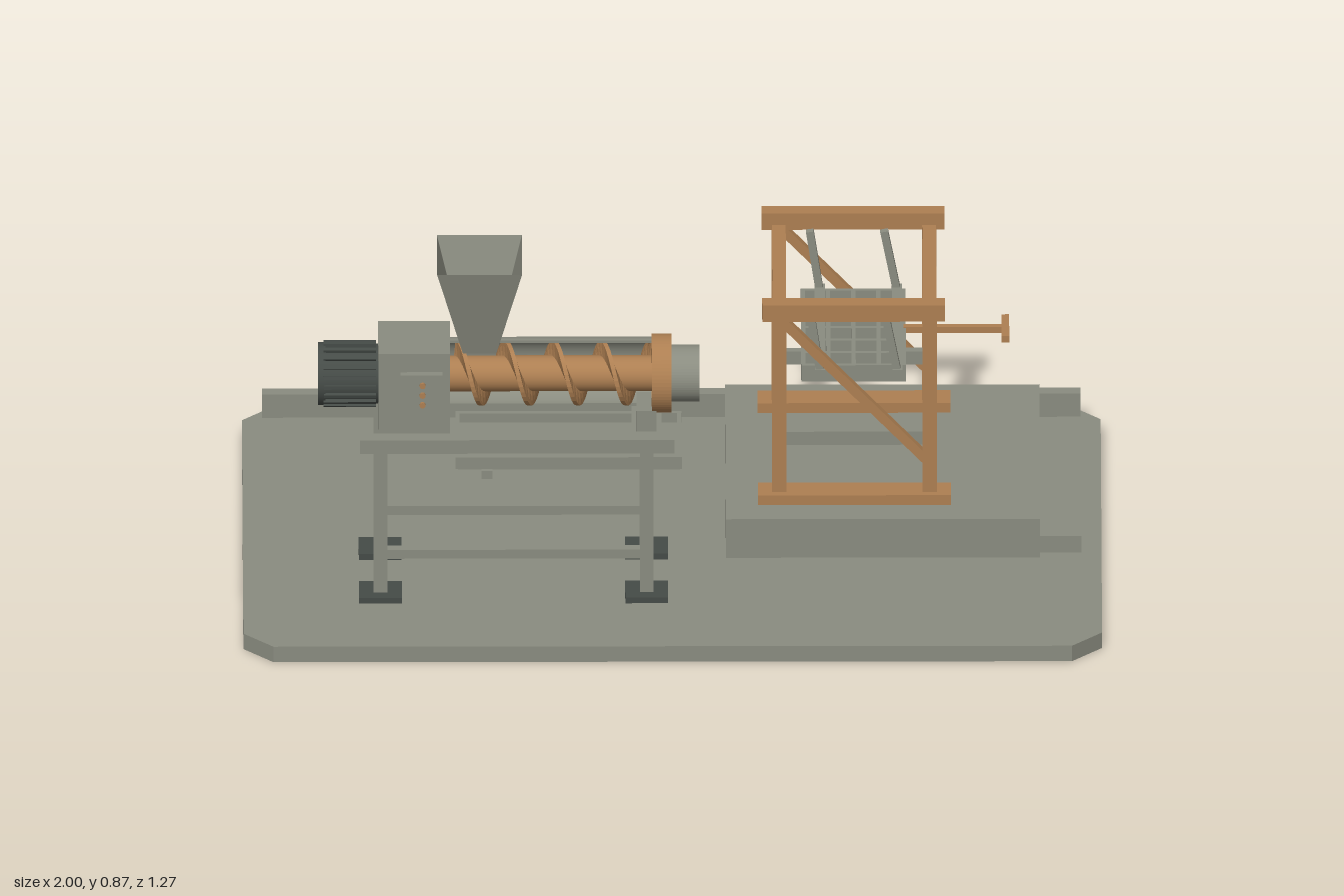
import * as THREE from 'three';

export function createModel() {
  const model = new THREE.Group();
  const make = (name, color, extra = {}) => {
    const m = new THREE.MeshStandardMaterial({ color, ...extra });
    m.name = name;
    return m;
  };
  const grey = make('grey', 0x8a8c80);
  const sheet = grey.clone();
  sheet.side = THREE.DoubleSide;
  const copper = make('copper', 0xad7f52);
  const dark = make('dark', 0x454b47);

  const add = (name, geo, mat) => {
    const mesh = new THREE.Mesh(geo, mat);
    mesh.name = name;
    model.add(mesh);
    return mesh;
  };
  // box given by its limits on each axis
  const box = (name, mat, [x0, x1], [y0, y1], [z0, z1]) => {
    const m = add(name, new THREE.BoxGeometry(x1 - x0, y1 - y0, z1 - z0), mat);
    m.position.set((x0 + x1) / 2, (y0 + y1) / 2, (z0 + z1) / 2);
    return m;
  };
  // sloping square bar in a plane of constant z
  const bar = (name, mat, [xa, ya], [xb, yb], z, w, d) => {
    const m = add(name, new THREE.BoxGeometry(Math.hypot(xb - xa, yb - ya), w, d), mat);
    m.position.set((xa + xb) / 2, (ya + yb) / 2, z);
    m.rotation.z = Math.atan2(yb - ya, xb - xa);
    return m;
  };
  const about = (c, h) => [c - h, c + h];

  // Ground slab with cut corners
  const X = 1, Z = 0.635, c = 0.07;
  const slab = new THREE.Shape([
    [-X + c, -Z], [X - c, -Z], [X, -Z + c], [X, Z - c],
    [X - c, Z], [-X + c, Z], [-X, Z - c], [-X, -Z + c],
  ].map(p => new THREE.Vector2(...p)));
  add('slab', new THREE.ExtrudeGeometry(slab, { depth: 0.04, bevelEnabled: false }).rotateX(-Math.PI / 2), grey);
  box('rearCurb', grey, [-0.953, 0.953], [0.04, 0.1], [-0.61, -0.578]);
  box('plinth', grey, [0.125, 0.857], [0.04, 0.14], [-0.546, 0.167]);
  box('step', grey, [0.857, 0.953], [0.04, 0.083], [-0.224, 0.142]);

  // Cutting frame
  const postX = [0.25, 0.6], frameZ = [0.058, -0.43];
  for (const z of frameZ) {
    box('footBeam', copper, [0.2, 0.65], [0.14, 0.165], about(z, 0.034));
    box('topBeam', copper, [0.21, 0.636], [0.608, 0.65], about(z, 0.02));
    for (const x of postX) box('post', copper, about(x, 0.017), [0.165, 0.61], about(z, 0.017));
    bar('brace', copper, [0.255, 0.605], [0.6, 0.235], z, 0.022, 0.02);
  }
  for (const x of postX) {
    box('topRail', copper, about(x, 0.016), [0.59, 0.62], [-0.415, 0.043]);
    box('lowerRail', copper, about(x, 0.015), [0.244, 0.268], [-0.415, 0.043]);
    box('sideBoard', grey, about(x, 0.012), [0.268, 0.302], [-0.41, 0.036]);
  }
  for (const z of [0.025, -0.4]) box('endBoard', grey, [0.26, 0.59], [0.268, 0.302], about(z, 0.01));

  // Swinging cutter grid
  for (let i = 0; i <= 4; i++)
    box('gridLongBlade', grey, about(0.306 + i * 0.0585, 0.005), [0.423, 0.465], [-0.39, 0.015]);
  for (let i = 0; i <= 6; i++)
    box('gridCrossBlade', grey, [0.302, 0.545], [0.423, 0.465], about(-0.385 + i * 0.066, 0.005));
  for (const [top, low] of [[0.322, 0.345], [0.495, 0.525]]) {
    box('hangerRod', grey, about(low, 0.012), [0.45, 0.466], [-0.415, 0.043]);
    for (const z of [0.03, -0.402]) bar('hanger', grey, [top, 0.61], [low, 0.455], z, 0.018, 0.018);
  }
  box('pullBar', copper, [0.54, 0.772], about(0.459, 0.008), about(-0.19, 0.008));
  box('pullGrip', copper, [0.768, 0.786], about(0.459, 0.009), [-0.247, -0.133]);

  // Machine stand
  const legX = [-0.68, -0.06];
  for (const z of [0.362, 0.13]) {
    box('tableRail', grey, [-0.728, 0.005], [0.415, 0.45], about(z, 0.018));
    box('stretcher', grey, [-0.665, -0.075], [0.14, 0.163], about(z, 0.012));
    for (const x of legX) {
      box('leg', grey, about(x, 0.016), [0.055, 0.415], about(z, 0.016));
      box('footPlate', dark, about(x, 0.05), [0.04, 0.055], about(z, 0.045));
    }
  }
  for (const x of [-0.6, -0.06]) box('tableCrossbar', grey, about(x, 0.035), [0.41, 0.437], [0.14, 0.35]);

  // Drip tray under the stand
  box('trayFloor', grey, [-0.5, 0.017], [0.368, 0.376], [0.125, 0.368]);
  for (const z of [0.13, 0.363]) box('traySide', grey, [-0.505, 0.022], [0.37, 0.4], about(z, 0.006));
  for (const x of [-0.5, 0.016]) box('trayEnd', grey, about(x, 0.005), [0.37, 0.4], [0.13, 0.363]);
  for (const x of [-0.432, -0.06]) box('trayBearer', grey, about(x, 0.013), [0.348, 0.369], [0.115, 0.378]);

  // Gearbox and control panel
  const AY = 0.558, AZ = 0.246;
  box('gearbox', grey, [-0.685, -0.518], [0.435, 0.652], [0.16, 0.336]);
  box('controlPanel', grey, [-0.633, -0.535], [0.506, 0.605], [0.336, 0.354]);
  for (const y of [0.58, 0.555, 0.53]) {
    const b = add('button', new THREE.CylinderGeometry(0.007, 0.007, 0.008, 12).rotateX(Math.PI / 2), copper);
    b.position.set(-0.582, y, 0.357);
  }

  // Round parts along the barrel axis
  const rod = (name, mat, r, x0, x1, seg = 32) => {
    const m = add(name, new THREE.CylinderGeometry(r, r, x1 - x0, seg).rotateZ(Math.PI / 2), mat);
    m.position.set((x0 + x1) / 2, AY, AZ);
    return m;
  };
  // hollow (or part) ring; a0..a1 measured from +z towards +y
  const pipe = (name, mat, ro, ri, x0, x1, a0 = 0, a1 = Math.PI * 2) => {
    const s = new THREE.Shape();
    s.absarc(0, 0, ro, a0, a1, false);
    if (a1 - a0 < 6.28) s.absarc(0, 0, ri, a1, a0, true);
    else s.holes.push(new THREE.Path().absarc(0, 0, ri, 0, Math.PI * 2, true));
    const g = new THREE.ExtrudeGeometry(s, { depth: x1 - x0, bevelEnabled: false, curveSegments: 32 });
    const m = add(name, g.rotateY(-Math.PI / 2), mat);
    m.position.set(x1, AY, AZ);
    return m;
  };
  rod('motorBody', dark, 0.07, -0.815, -0.685);
  rod('motorCap', dark, 0.073, -0.825, -0.808);
  for (let i = 0; i < 20; i++) {
    const a = (i / 20) * Math.PI * 2;
    const f = box('motorFin', dark, [-0.812, -0.69], [-0.006, 0.006], [-0.004, 0.004]);
    f.position.set(-0.751, AY + 0.072 * Math.cos(a), AZ + 0.072 * Math.sin(a));
    f.rotation.x = a;
  }
  pipe('barrelShell', grey, 0.085, 0.078, -0.518, -0.04, Math.PI / 2, Math.PI * 1.5);
  pipe('barrelFlange', copper, 0.092, 0.06, -0.048, -0.002);
  pipe('nozzle', grey, 0.066, 0.046, -0.045, 0.063);
  box('barrelSaddle', grey, [-0.083, -0.037], [0.435, 0.49], [0.184, 0.308]);

  // Screw: core with a helical flight
  rod('screwCore', copper, 0.042, -0.518, 0.02);
  rod('screwTip', grey, 0.026, 0.02, 0.045);
  const turns = 4, steps = turns * 32, pos = [], idx = [];
  const section = [[0.035, -0.009], [0.075, -0.005], [0.075, 0.005], [0.035, 0.009]];
  for (let i = 0; i <= steps; i++) {
    const a = (i / steps) * turns * Math.PI * 2 - 0.4;
    const x = -0.5 + (i / steps) * 0.45;
    for (const [r, dx] of section) pos.push(x + dx, AY + r * Math.cos(a), AZ + r * Math.sin(a));
    if (i === steps) break;
    for (let k = 0; k < 4; k++) {
      const p = i * 4 + k, q = i * 4 + (k + 1) % 4;
      idx.push(p, p + 4, q, q, p + 4, q + 4);
    }
  }
  let flight = new THREE.BufferGeometry();
  flight.setAttribute('position', new THREE.Float32BufferAttribute(pos, 3));
  flight.setIndex(idx);
  flight = flight.toNonIndexed();
  flight.computeVertexNormals();
  const flightMat = copper.clone();
  flightMat.side = THREE.DoubleSide;
  add('screwFlight', flight, flightMat);

  // Feed hopper: open four-sided funnel
  const rim = [[-0.548, 0.352], [-0.35, 0.352], [-0.35, 0.141], [-0.548, 0.141]];
  const throat = [[-0.488, 0.288], [-0.41, 0.288], [-0.41, 0.204], [-0.488, 0.204]];
  const walls = [];
  for (let i = 0; i < 4; i++) {
    const j = (i + 1) % 4;
    const at = (p, y) => [p[0], y, p[1]];
    const [a, b, d, e] = [at(throat[i], 0.63), at(throat[j], 0.63), at(rim[j], 0.865), at(rim[i], 0.865)];
    walls.push(...a, ...b, ...d, ...a, ...d, ...e);
  }
  const hopper = new THREE.BufferGeometry();
  hopper.setAttribute('position', new THREE.Float32BufferAttribute(walls, 3));
  hopper.computeVertexNormals();
  add('hopper', hopper, sheet);

  return model;
}
